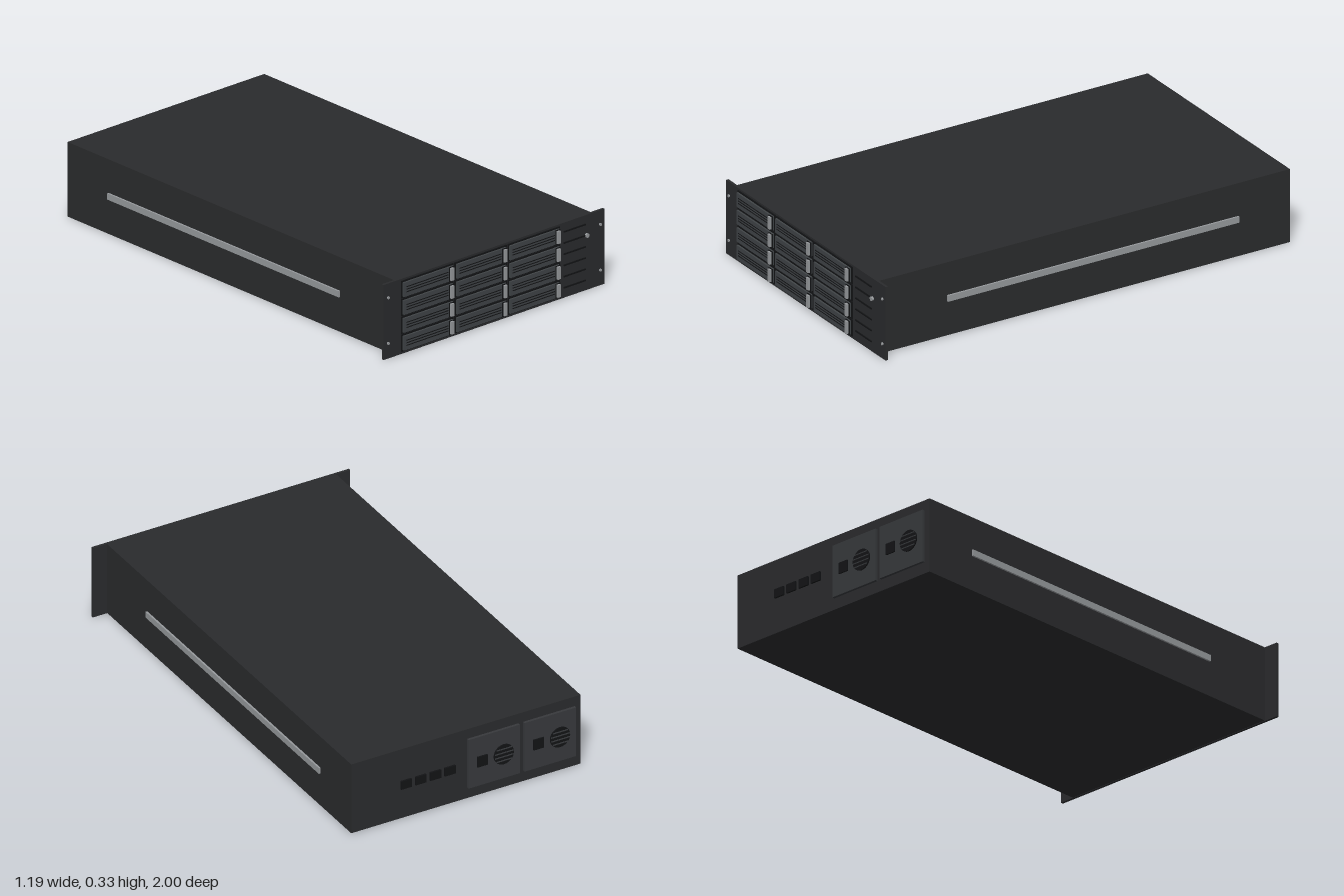
import * as THREE from 'three';

const mat = (color) => new THREE.MeshStandardMaterial({ color });

export function createModel() {
  const model = new THREE.Group();
  model.name = 'rackServer';
  const shell = mat(0x2a2b2d), dark = mat(0x121315), tray = mat(0x404447);
  const metal = mat(0x96999c), supply = mat(0x37393c);

  // box given by its x, y and z ranges
  function box(name, parent, material, [x0, x1], [y0, y1], [z0, z1]) {
    const mesh = new THREE.Mesh(new THREE.BoxGeometry(x1 - x0, y1 - y0, z1 - z0), material);
    mesh.position.set((x0 + x1) / 2, (y0 + y1) / 2, (z0 + z1) / 2);
    mesh.name = name;
    parent.add(mesh);
  }

  // disc facing along z
  function disc(name, parent, material, r, x, y, [z0, z1]) {
    const mesh = new THREE.Mesh(new THREE.CylinderGeometry(r, r, z1 - z0, 24), material);
    mesh.rotation.x = Math.PI / 2;
    mesh.position.set(x, y, (z0 + z1) / 2);
    mesh.name = name;
    parent.add(mesh);
  }

  function group(name) {
    const g = new THREE.Group();
    g.name = name;
    model.add(g);
    return g;
  }

  // case and front plate with mounting ears
  box('case', model, shell, [-0.53, 0.53], [0.002, 0.325], [-0.98, 0.967]);
  box('frontPlate', model, shell, [-0.595, 0.595], [0, 0.325], [0.966, 0.977]);

  // side rails and ear screws
  for (const s of [-1, 1]) {
    const xs = [s * 0.525, s * 0.538].sort((a, b) => a - b);
    box('sideRail', model, metal, xs, [0.153, 0.18], [-0.735, 0.645]);
    for (const y of [0.066, 0.264]) disc('earScrew', model, metal, 0.006, s * 0.572, y, [0.975, 0.982]);
  }

  // drive bays, three columns of four
  for (let col = 0; col < 3; col++) {
    for (let row = 0; row < 4; row++) {
      const x = -0.502 + col * 0.287, y = 0.048 + row * 0.0773;
      const bay = group('driveBay');
      box('bayFrame', bay, dark, [x, x + 0.28], [y - 0.037, y + 0.037], [0.972, 0.982]);
      box('driveTray', bay, tray, [x + 0.005, x + 0.272], [y - 0.031, y + 0.031], [0.98, 0.99]);
      for (const dy of [-0.011, 0, 0.011]) {
        box('trayVent', bay, dark, [x + 0.017, x + 0.243], [y + dy - 0.0018, y + dy + 0.0018], [0.988, 0.9915]);
      }
      box('latchGap', bay, dark, [x + 0.247, x + 0.273], [y - 0.031, y + 0.031], [0.988, 0.9915]);
      box('trayHandle', bay, metal, [x + 0.252, x + 0.267], [y - 0.027, y + 0.027], [0.988, 1]);
    }
  }

  // control area: vent slots and power button
  for (let i = 0; i < 6; i++) {
    const y = 0.044 + i * 0.0484;
    box('frontVent', model, dark, [0.374, 0.492], [y - 0.003, y + 0.003], [0.975, 0.981]);
  }
  disc('powerButton', model, metal, 0.009, 0.498, 0.237, [0.975, 0.986]);

  // two power supplies with socket and slatted fan grille
  for (const x of [-0.384, -0.124]) {
    const psu = group('powerSupply');
    box('supplyPlate', psu, supply, [x - 0.119, x + 0.119], [0.052, 0.28], [-0.992, -0.978]);
    box('socket', psu, dark, [x + 0.033, x + 0.08], [0.142, 0.19], [-0.998, -0.99]);
    disc('fan', psu, dark, 0.046, x - 0.043, 0.166, [-0.997, -0.99]);
    for (const dy of [-0.027, -0.009, 0.009, 0.027]) {
      const half = Math.sqrt(0.044 ** 2 - dy ** 2);
      box('fanSlat', psu, supply, [x - 0.043 - half, x - 0.043 + half],
        [0.164 + dy, 0.168 + dy], [-1, -0.996]);
    }
  }

  // row of rear ports
  for (let i = 0; i < 4; i++) {
    const x = 0.083 + i * 0.0675;
    box('rearPort', model, dark, [x - 0.025, x + 0.025], [0.148, 0.186], [-1, -0.992]);
  }

  return model;
}
